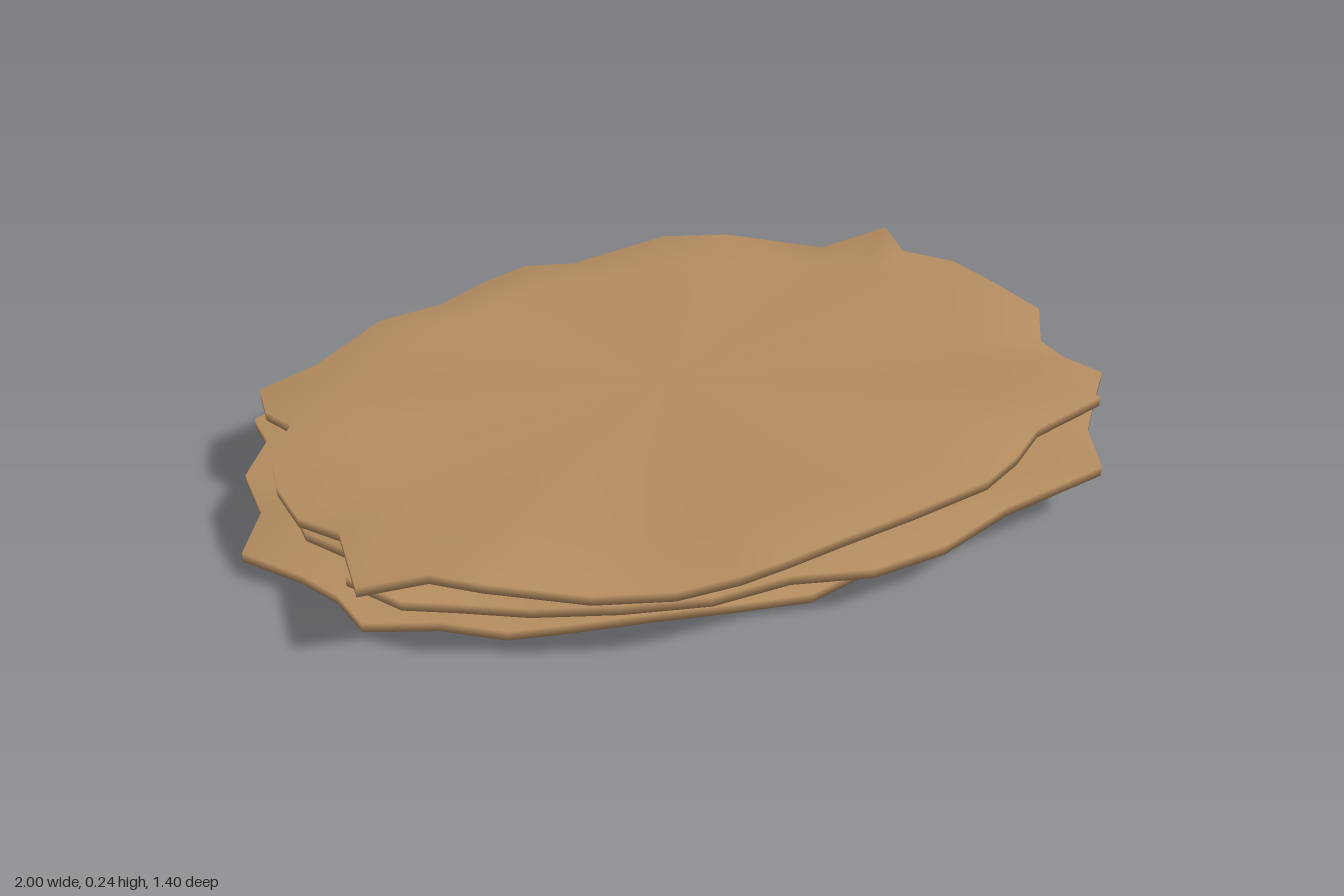
import * as THREE from 'three';

// Rim outlines as x, z pairs, running from +x towards +z
const TOP = [0.93, 0.02, 0.88, 0.12, 0.84, 0.2, 0.83, 0.31, 0.86, 0.42, 0.69, 0.45, 0.61, 0.51, 0.5, 0.58, 0.3, 0.63,
  0.13, 0.66, 0, 0.69, -0.11, 0.7, -0.24, 0.68, -0.4, 0.63, -0.6, 0.56, -0.69, 0.49, -0.83, 0.46, -0.82, 0.27,
  -0.89, 0.2, -0.91, 0.08, -0.9, -0.02, -0.84, -0.1, -0.88, -0.18, -0.87, -0.31, -0.73, -0.36, -0.56, -0.44,
  -0.4, -0.48, -0.28, -0.55, -0.16, -0.59, -0.04, -0.57, 0.2, -0.58, 0.35, -0.53, 0.57, -0.44, 0.75, -0.45,
  0.73, -0.31, 0.83, -0.23, 0.88, -0.1];
const MIDDLE = [0.93, 0.04, 0.95, 0.12, 1, 0.21, 0.92, 0.31, 0.86, 0.39, 0.8, 0.55, 0.54, 0.6, 0.38, 0.64, 0.2, 0.67,
  0.02, 0.65, -0.15, 0.65, -0.33, 0.61, -0.5, 0.54, -0.63, 0.47, -0.74, 0.44, -0.83, 0.35, -0.81, 0.25, -0.87, 0.13,
  -0.88, 0, -0.83, -0.1, -0.85, -0.2, -0.77, -0.3, -0.72, -0.38, -0.68, -0.48, -0.52, -0.53, -0.4, -0.53, -0.33, -0.57,
  -0.2, -0.6, -0.04, -0.59, 0.2, -0.6, 0.35, -0.56, 0.55, -0.46, 0.72, -0.4, 0.84, -0.25, 0.94, -0.18, 0.94, -0.07];
const BOTTOM = [0.82, 0.03, 0.83, 0.15, 0.78, 0.25, 0.8, 0.36, 0.68, 0.42, 0.58, 0.5, 0.44, 0.53, 0.28, 0.57, 0.1, 0.59,
  -0.08, 0.58, -0.25, 0.57, -0.4, 0.53, -0.54, 0.5, -0.66, 0.42, -0.81, 0.36, -0.84, 0.27, -0.9, 0.2, -1, 0.07,
  -0.93, -0.09, -0.94, -0.21, -0.87, -0.31, -0.88, -0.41, -0.68, -0.51, -0.53, -0.57, -0.3, -0.65, -0.19, -0.68,
  0.08, -0.7, 0.2, -0.69, 0.42, -0.63, 0.57, -0.62, 0.64, -0.54, 0.7, -0.44, 0.83, -0.3, 0.85, -0.2, 0.8, -0.08];

// Closed thin sheet: rings go out over the top and back in underneath
function sheetGeometry(outline, y, phase) {
  const n = outline.length / 2;
  const thick = 0.024;
  const rings = [[0, 1], [0.45, 1], [0.8, 1], [1, 1], [1, -1], [0.8, -1], [0.45, -1], [0, -1]];
  const pos = [], index = [];
  for (const [t, side] of rings) {
    for (let i = 0; i < n; i++) {
      const x = outline[2 * i], z = outline[2 * i + 1];
      const a = Math.atan2(z / 0.64, x / 0.9);
      // Smooth oval inside, ragged outline at the rim
      const ragged = t * t;
      const px = t * (x * ragged + 0.89 * Math.cos(a) * (1 - ragged));
      const pz = t * (z * ragged + 0.63 * Math.sin(a) * (1 - ragged));
      const wave = 0.013 * Math.sin(7 * a + phase) + 0.009 * Math.sin(11 * a + 2 * phase);
      pos.push(px, y + wave * Math.pow(t, 5) + side * thick / 2, pz);
    }
  }
  for (let k = 0; k < rings.length - 1; k++) {
    for (let i = 0; i < n; i++) {
      const j = (i + 1) % n;
      const a = k * n + i, b = k * n + j, c = a + n, d = b + n;
      if (k > 0) index.push(a, b, c);
      if (k < rings.length - 2) index.push(b, d, c);
      else continue;
      if (k === 0) continue;
    }
  }
  const g = new THREE.BufferGeometry();
  g.setAttribute('position', new THREE.Float32BufferAttribute(pos, 3));
  g.setIndex(index);
  g.computeVertexNormals();
  // Centre points have only one facet each, so set their normals directly
  for (let i = 0; i < n; i++) {
    g.attributes.normal.setXYZ(i, 0, 1, 0);
    g.attributes.normal.setXYZ((rings.length - 1) * n + i, 0, -1, 0);
  }
  return g;
}

export function createModel() {
  const group = new THREE.Group();
  group.name = 'sheetStack';
  const tan = new THREE.MeshStandardMaterial({ color: 0xb48c60 });
  tan.name = 'tan hide';

  const layers = [
    ['bottomSheet', BOTTOM, 0.037, 0.4],
    ['middleSheet', MIDDLE, 0.126, 2.1],
    ['topSheet', TOP, 0.208, 4.2],
  ];
  for (const [name, outline, y, phase] of layers) {
    const mesh = new THREE.Mesh(sheetGeometry(outline, y, phase), tan);
    mesh.name = name;
    group.add(mesh);
  }
  return group;
}
